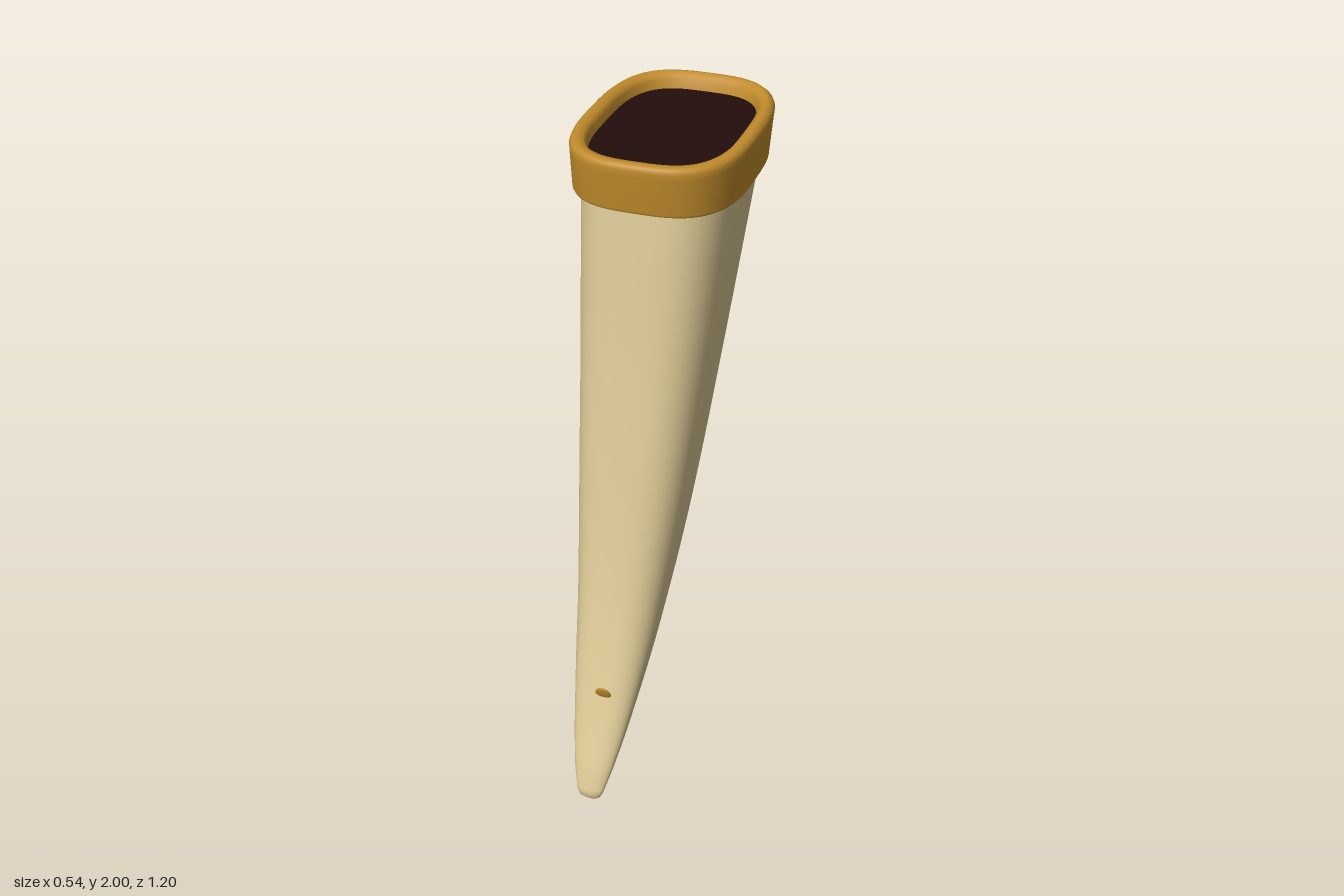
import * as THREE from 'three';

const SEG = 72;

// One rounded-rectangle ring: height, front z, back z, half width, roundness power, tilt towards the back
function ring([y, zf, zb, hw, n = 3, tilt = 0]) {
  const zc = (zf + zb) / 2, hz = (zf - zb) / 2;
  const bend = (v) => Math.sign(v) * Math.pow(Math.abs(v), 2 / n);
  return Array.from({ length: SEG }, (_, j) => {
    const a = (j / SEG) * Math.PI * 2;
    const z = hz * bend(Math.sin(a));
    return [hw * bend(Math.cos(a)), y + tilt * z, zc + z];
  });
}

// Skin a stack of rings; a repeated ring gives a sharp edge
function loft(rows) {
  const pos = [], idx = [];
  rows.forEach((r) => ring(r).forEach((p) => pos.push(...p)));
  for (let i = 0; i < rows.length - 1; i++) {
    for (let j = 0; j < SEG; j++) {
      const k = (j + 1) % SEG;
      const a = i * SEG + j, b = i * SEG + k, c = a + SEG, d = b + SEG;
      idx.push(a, c, b, b, c, d);
    }
  }
  const g = new THREE.BufferGeometry();
  g.setAttribute('position', new THREE.Float32BufferAttribute(pos, 3));
  g.setIndex(idx);
  g.computeVertexNormals();
  return g;
}

// Smooth a few key sections into many
function smoothRows(keys, count) {
  const edge = new THREE.CatmullRomCurve3(keys.map((k) => new THREE.Vector3(k[0], k[1], k[2])));
  const size = new THREE.CatmullRomCurve3(keys.map((k) => new THREE.Vector3(k[0], k[3], k[4])));
  return Array.from({ length: count + 1 }, (_, i) => {
    const e = edge.getPoint(i / count), s = size.getPoint(i / count);
    return [e.x, e.y, e.z, s.y, s.z];
  });
}

export function createModel() {
  const model = new THREE.Group();
  model.name = 'curvedHorn';
  const mat = (name, color) => {
    const m = new THREE.MeshStandardMaterial({ color });
    m.name = name;
    return m;
  };
  const ivory = mat('ivory', 0xd9c693);
  const gold = mat('gold', 0xc18c2c);
  const dark = mat('darkInside', 0x240d0d);
  const add = (name, geometry, material) => {
    const m = new THREE.Mesh(geometry, material);
    m.name = name;
    model.add(m);
    return m;
  };

  // Horn body, curving forward to a blunt tip
  const tip = [
    [0, 0.588, 0.588, 0, 2],
    [0.002, 0.592, 0.582, 0.02, 2],
    [0.012, 0.6, 0.572, 0.034, 2.1],
  ];
  const keys = [
    [0.03, 0.602, 0.562, 0.043, 2.2],
    [0.1, 0.578, 0.51, 0.062, 2.3],
    [0.2, 0.535, 0.43, 0.083, 2.4],
    [0.4, 0.455, 0.26, 0.115, 2.5],
    [0.6, 0.385, 0.105, 0.139, 2.6],
    [0.8, 0.327, -0.02, 0.16, 2.7],
    [1.0, 0.276, -0.122, 0.178, 2.8],
    [1.4, 0.187, -0.312, 0.208, 2.9],
    [1.87, 0.1, -0.532, 0.241, 3],
  ];
  add('hornBody', loft([...tip, ...smoothRows(keys, 48)]), ivory);

  // Gold collar: flat underside, flared wall, rounded lip, inner wall
  const t = 0.015;
  add('collar', loft([
    [1.838, 0.09, -0.5, 0.215, 3, t],
    [1.838, 0.128, -0.548, 0.258, 3, t],
    [1.838, 0.128, -0.548, 0.258, 3, t],
    [1.846, 0.132, -0.555, 0.262, 3, t],
    [1.96, 0.145, -0.591, 0.267, 3, t],
    [1.978, 0.147, -0.598, 0.268, 3, t],
    [1.99, 0.143, -0.594, 0.263, 3, t],
    [1.997, 0.133, -0.583, 0.253, 3, 0.006],
    [1.998, 0.122, -0.572, 0.242, 3.1, 0.006],
    [1.992, 0.108, -0.557, 0.228, 3.1, t],
    [1.98, 0.098, -0.545, 0.217, 3.2, t],
    [1.94, 0.09, -0.537, 0.211, 3.2, t],
  ]), gold);

  // Dark filling of the mouth
  add('mouth', loft([
    [1.955, 0.095, -0.541, 0.215, 3.2, t],
    [1.955, -0.223, -0.223, 0, 3.2, t],
  ]), dark);

  // Small gold fleck on the front near the tip
  const fleck = add('frontFleck', new THREE.SphereGeometry(1, 20, 12), gold);
  fleck.scale.set(0.026, 0.033, 0.007);
  fleck.position.set(0.01, 0.343, 0.477);
  fleck.rotation.x = 0.37;

  return model;
}
